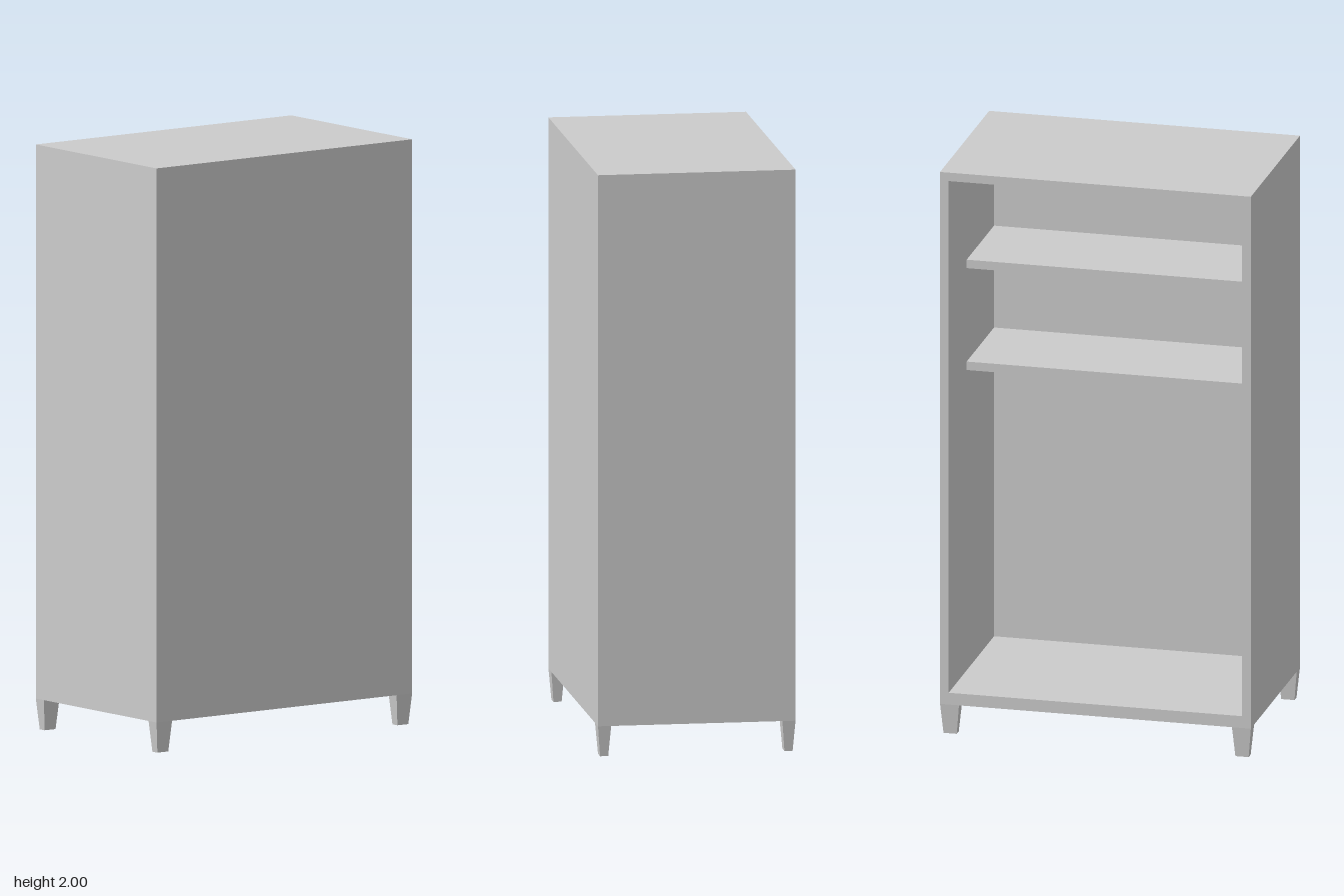
import * as THREE from 'three';

const material = new THREE.MeshStandardMaterial({ color: 0xcccccc, flatShading: true });

export function createModel() {
  const cabinet = new THREE.Group();
  cabinet.name = 'cabinet';

  const X = 0.338, Z = 0.542; // outer half sizes
  const bottom = 0.105, top = 2, t = 0.03; // body heights and panel thickness
  const floorTop = 0.147, wallX = 0.287;

  // Box given by its extents along each axis
  function panel(name, [x0, x1], [y0, y1], [z0, z1]) {
    const mesh = new THREE.Mesh(new THREE.BoxGeometry(x1 - x0, y1 - y0, z1 - z0), material);
    mesh.position.set((x0 + x1) / 2, (y0 + y1) / 2, (z0 + z1) / 2);
    mesh.name = name;
    cabinet.add(mesh);
  }

  // Carcass, open on the -x side
  const inner = [-Z + t, Z - t];
  panel('topPanel', [-X, X], [top - t, top], [-Z, Z]);
  panel('floorPanel', [-X, X], [bottom, floorTop], [-Z, Z]);
  panel('frontPanel', [-X, X], [floorTop, top - t], [Z - t, Z]);
  panel('backPanel', [-X, X], [floorTop, top - t], [-Z, -Z + t]);
  panel('closedSidePanel', [wallX, X], [floorTop, top - t], inner);

  // Shelves, set back from the opening
  panel('lowerShelf', [-0.09, wallX], [1.217, 1.247], inner);
  panel('upperShelf', [-0.09, wallX], [1.58, 1.61], inner);

  // Tapered legs at the corners
  const legW = 0.045, legD = 0.066;
  const legGeometry = new THREE.BoxGeometry(legW, bottom, legD);
  const p = legGeometry.attributes.position;
  for (let i = 0; i < p.count; i++) {
    if (p.getY(i) < 0) {
      p.setX(i, p.getX(i) * 0.62);
      p.setZ(i, p.getZ(i) * 0.7);
    }
  }
  legGeometry.computeVertexNormals();
  for (const sx of [-1, 1]) {
    for (const sz of [-1, 1]) {
      const leg = new THREE.Mesh(legGeometry, material);
      leg.name = (sz > 0 ? 'front' : 'back') + (sx > 0 ? 'Left' : 'Right') + 'Leg';
      leg.position.set(sx * (X - legW / 2), bottom / 2, sz * (Z - legD / 2));
      cabinet.add(leg);
    }
  }
  return cabinet;
}
